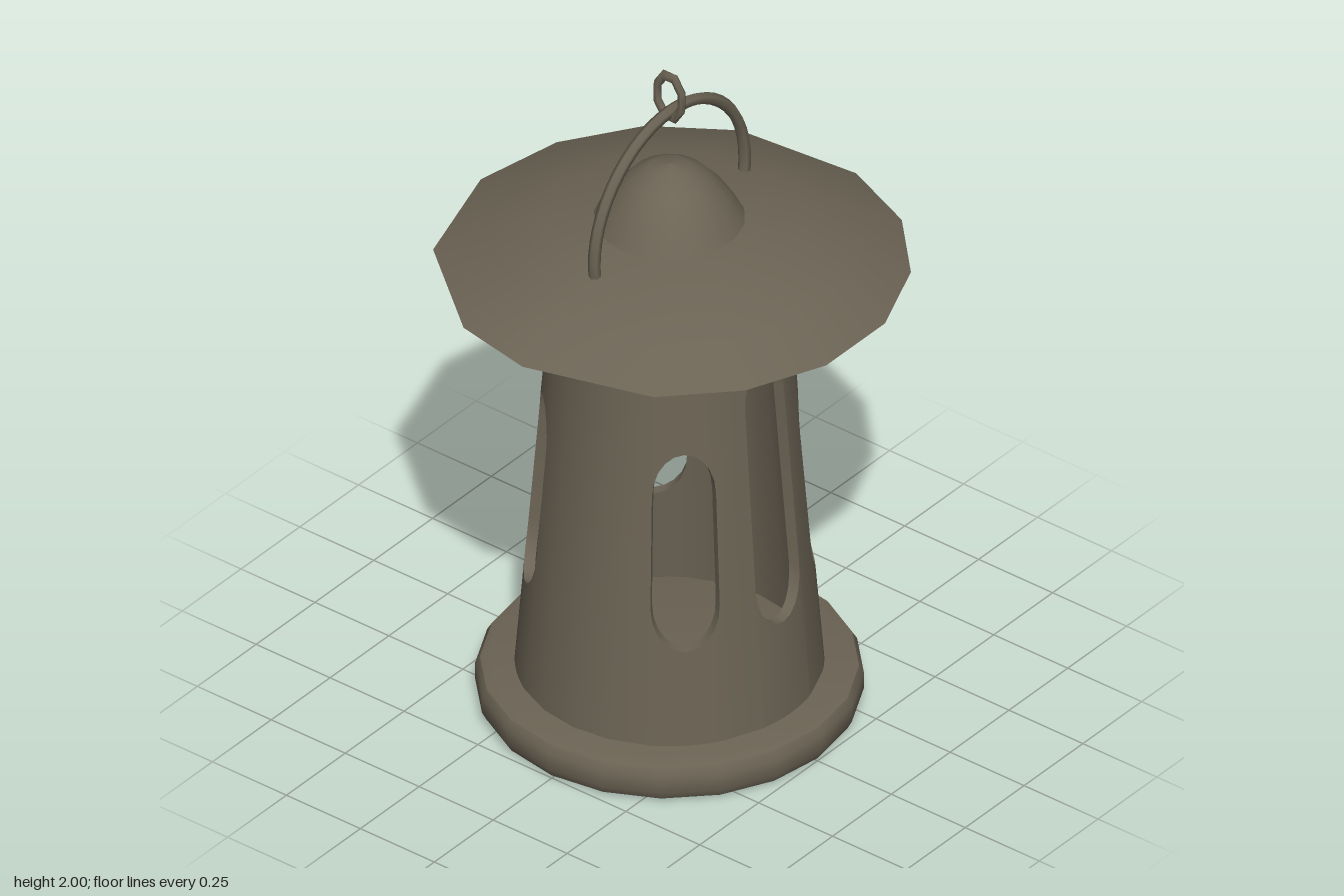
import * as THREE from 'three';
import { toCreasedNormals } from 'three/addons/utils/BufferGeometryUtils.js';

// Collects triangles and quads, then smooths everything but the sharp edges
function builder() {
  const pos = [];
  const tri = (...pts) => pts.forEach((p) => pos.push(...p));
  const quad = (a, b, c, d) => { tri(a, b, c); tri(a, c, d); };
  const finish = (crease = 0.6) => {
    const g = new THREE.BufferGeometry();
    g.setAttribute('position', new THREE.Float32BufferAttribute(pos, 3));
    return toCreasedNormals(g, crease);
  };
  return { tri, quad, finish };
}

const rad = THREE.MathUtils.degToRad;
const lathe = (pts, sides) =>
  new THREE.LatheGeometry(pts.map(([r, y]) => new THREE.Vector2(r, y)), sides);

// Tapered shell with round-ended windows cut through it
function wallGeometry() {
  const Y0 = 0.1, Y1 = 1.4, THICK = 0.03, HALF = 14.2, END = 0.13, STEPS = 10;
  const { quad, finish } = builder();
  const P = (deg, y, inset) => {
    const r = 0.411 - 0.105 * (y - Y0) / (Y1 - Y0) - inset;
    return [Math.sin(rad(deg)) * r, y, Math.cos(rad(deg)) * r];
  };
  // Outer and inner skin of one column, with closed ends
  const column = (a, b, loA, loB, hiA, hiB) => {
    const o = [P(a, loA, 0), P(b, loB, 0), P(b, hiB, 0), P(a, hiA, 0)];
    const i = [P(a, loA, THICK), P(b, loB, THICK), P(b, hiB, THICK), P(a, hiA, THICK)];
    quad(o[0], o[1], o[2], o[3]);
    quad(i[1], i[0], i[3], i[2]);
    quad(o[3], o[2], i[2], i[3]);
    quad(o[1], o[0], i[0], i[1]);
  };
  // Windows: four short ones on the diagonals, two tall ones at the sides
  const windows = [[45, 1.0], [90, 1.22], [135, 1.0], [225, 1.0], [270, 1.22], [315, 1.0]];
  windows.forEach(([mid, top], k) => {
    const bottom = 0.4;
    const at = (j) => {
      const t = Math.PI * j / STEPS;
      const drop = END * (1 - Math.sin(t));
      return { a: mid - HALF * Math.cos(t), lo: bottom + drop, hi: top - drop };
    };
    for (let j = 0; j < STEPS; j++) {
      const p = at(j), q = at(j + 1);
      column(p.a, q.a, Y0, Y0, p.lo, q.lo);
      column(p.a, q.a, p.hi, q.hi, Y1, Y1);
    }
    // Straight jambs
    const s = at(0), e = at(STEPS);
    quad(P(s.a, s.lo, 0), P(s.a, s.lo, THICK), P(s.a, s.hi, THICK), P(s.a, s.hi, 0));
    quad(P(e.a, e.lo, THICK), P(e.a, e.lo, 0), P(e.a, e.hi, 0), P(e.a, e.hi, THICK));
    // Solid wall up to the next window
    const next = k < 5 ? windows[k + 1][0] : 360 + windows[0][0];
    const from = mid + HALF, span = next - HALF - from;
    const n = Math.max(1, Math.round(span / 16));
    for (let j = 0; j < n; j++) {
      column(from + span * j / n, from + span * (j + 1) / n, Y0, Y0, Y1, Y1);
    }
  });
  return finish();
}

// Shallow curved roof on an uneven, hand-cut rim, with a flat underside
function roofGeometry() {
  const rim = [[0.13, -0.63], [0.36, -0.535], [0.53, -0.36], [0.625, -0.13], [0.625, 0.12],
    [0.53, 0.345], [0.36, 0.52], [0, 0.625], [-0.235, 0.58], [-0.525, 0.345],
    [-0.63, 0.01], [-0.58, -0.25], [-0.445, -0.455], [-0.235, -0.595]];
  const rings = [[1, 1.39], [0.78, 1.457], [0.54, 1.513], [0.25, 1.542]];
  const { tri, quad, finish } = builder();
  const P = (j, [s, y]) => {
    const [x, z] = rim[j % rim.length];
    return [x * s, y, z * s];
  };
  for (let j = 0; j < rim.length; j++) {
    for (let k = 0; k < rings.length - 1; k++) {
      quad(P(j + 1, rings[k]), P(j, rings[k]), P(j, rings[k + 1]), P(j + 1, rings[k + 1]));
    }
    tri([0, 1.39, 0], P(j, rings[0]), P(j + 1, rings[0]));
  }
  return finish(0.5);
}

export function createModel() {
  const model = new THREE.Group();
  model.name = 'lantern';
  const metal = new THREE.MeshStandardMaterial({ color: 0x6b6354 });
  metal.name = 'weatheredBronze';

  const add = (name, geometry) => {
    const mesh = new THREE.Mesh(geometry, metal);
    mesh.name = name;
    model.add(mesh);
    return mesh;
  };

  // Round-edged foot
  add('base', toCreasedNormals(lathe([[0, 0], [0.475, 0], [0.502, 0.01], [0.515, 0.035],
    [0.515, 0.085], [0.502, 0.107], [0.475, 0.115], [0, 0.115]], 20), 0.7));

  add('wall', wallGeometry());
  add('roof', roofGeometry());

  // Domed cap on the roof
  add('cap', lathe([[0.208, 1.525], [0.18, 1.57], [0.15, 1.615], [0.105, 1.665],
    [0.055, 1.696], [0, 1.706]], 18));

  // Carrying handle, arching from front to back
  const dip = 0.15;
  const handle = add('handle',
    new THREE.TorusGeometry(0.32, 0.017, 6, 28, Math.PI + 2 * dip).rotateZ(-dip));
  handle.rotation.y = Math.PI / 2;
  handle.position.y = 1.553;

  // Hanging link around the top of the handle
  const link = add('link',
    new THREE.TorusGeometry(0.043, 0.011, 6, 8).rotateZ(Math.PI / 8).scale(1.02, 1.57, 1));
  link.position.y = 1.921;

  return model;
}
